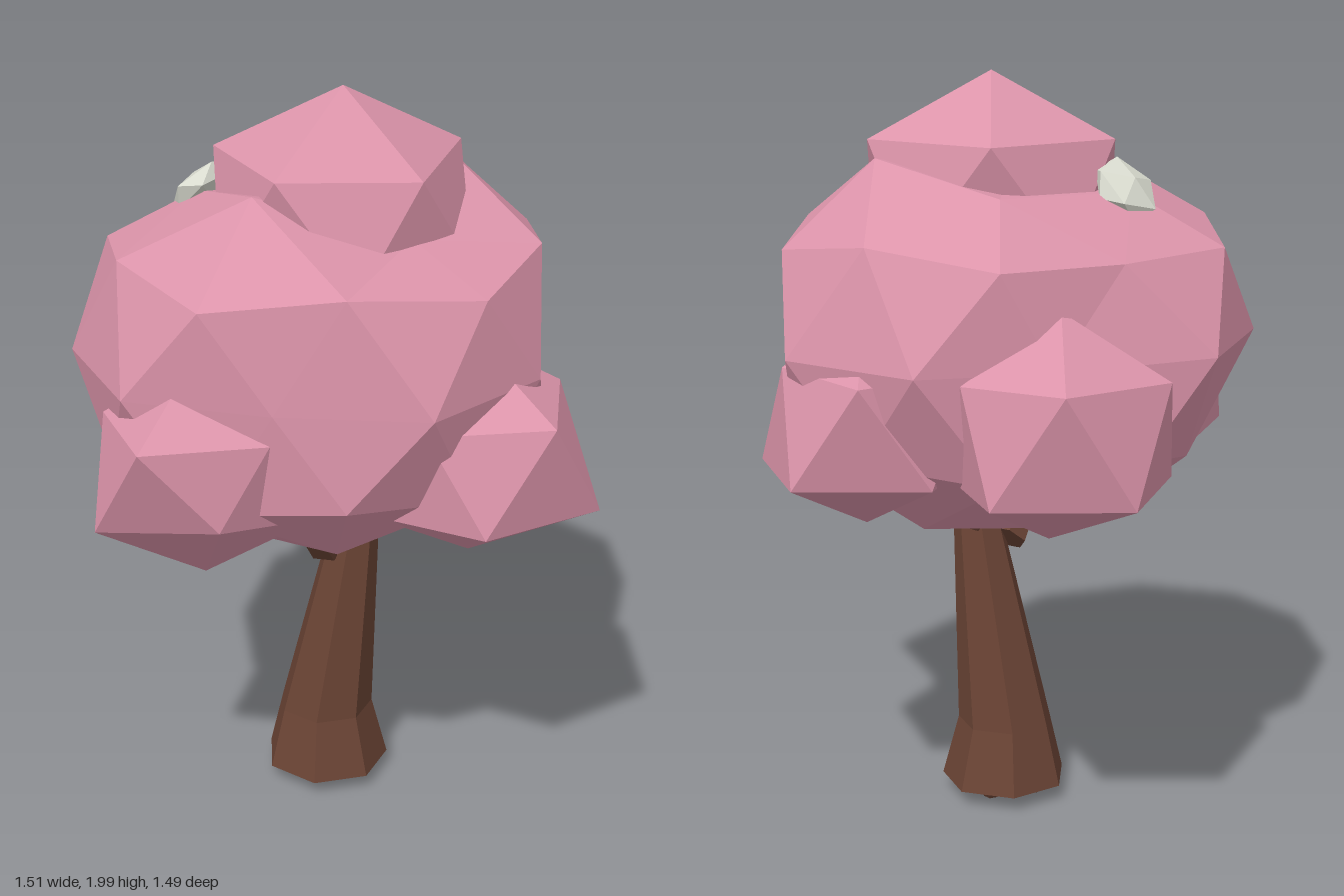
import * as THREE from 'three';

const flat = (name, color) => {
  const m = new THREE.MeshStandardMaterial({ color });
  m.flatShading = true;
  m.name = name;
  return m;
};

// Icosahedron standing on one corner, with an upper-ring corner towards +x.
// Each move [from, to] shifts the corner found at one point to another.
function uprightIco(detail, centre, radii, moves = []) {
  const g = new THREE.IcosahedronGeometry(1, detail);
  g.rotateZ(-Math.atan(2 / (1 + Math.sqrt(5))));
  g.scale(...radii);
  g.translate(...centre);
  const p = g.attributes.position;
  const corner = new THREE.Vector3();
  for (let i = 0; i < p.count; i++) {
    corner.fromBufferAttribute(p, i);
    const move = moves.find(([from]) => corner.distanceTo(new THREE.Vector3(...from)) < 0.05);
    if (move) p.setXYZ(i, ...move[1]);
  }
  g.computeVertexNormals();
  return g;
}

export function createModel() {
  const blossom = flat('blossomPink', 0xdc94aa);
  const bark = flat('barkBrown', 0x6b4435);
  const pale = flat('paleLeaf', 0xdadcd0);
  const tree = new THREE.Group();
  tree.name = 'tree';

  const add = (name, geometry, material, position = [0, 0, 0]) => {
    const mesh = new THREE.Mesh(geometry, material);
    mesh.name = name;
    mesh.position.set(...position);
    tree.add(mesh);
    return mesh;
  };

  // Main crown, dented under the top clump and on some sides
  add('mainCrown', uprightIco(1, [0.025, 1.32, -0.01], [0.64, 0.55, 0.675], [
    [[0.025, 1.87, -0.01], [0.025, 1.72, -0.01]],
    [[0.362, 1.788, -0.01], [0.34, 1.66, -0.01]],
    [[-0.247, 1.788, 0.199], [-0.25, 1.7, 0.19]],
    [[-0.247, 1.788, -0.219], [-0.24, 1.71, -0.22]],
    [[-0.52, 1.609, -0.01], [-0.47, 1.56, -0.01]],
    [[0.401, 1.32, 0.536], [0.35, 1.32, 0.46]],
    [[-0.584, 1.32, -0.219], [-0.49, 1.32, -0.24]],
    [[0.401, 1.32, -0.556], [0.34, 1.32, -0.47]],
    [[0.634, 1.32, -0.219], [0.61, 1.32, -0.2]],
    [[-0.416, 1.03, 0.327], [-0.37, 1.01, 0.29]],
    [[0.025, 0.77, -0.01], [0.025, 0.81, -0.01]],
  ]), blossom);

  // Smaller foliage clumps: name, centre, radii, shifted corners
  const clumps = [
    ['topClump', [0.085, 1.693, -0.012], [0.375, 0.307, 0.376],
      [[[0.42, 1.83, -0.012], [0.372, 1.81, -0.012]]]],
    ['frontClump', [0.085, 1.12, 0.46], [0.31, 0.305, 0.33], [
      [[0.309, 0.986, 0.633], [0.29, 1.03, 0.58]],
      [[0.171, 1.254, 0.741], [0.19, 1.25, 0.745]],
      [[-0.139, 1.254, 0.633], [-0.11, 1.24, 0.62]],
      [[0.362, 1.254, 0.46], [0.34, 1.24, 0.46]],
    ]],
    ['leftClump', [0.475, 1.125, -0.1], [0.315, 0.29, 0.345], [
      [[0.703, 0.995, -0.281], [0.75, 0.98, -0.29]],
      [[0.562, 1.255, -0.393], [0.55, 1.265, -0.345]],
      [[0.562, 1.255, 0.193], [0.56, 1.245, 0.15]],
    ]],
    ['backClump', [0.01, 1.15, -0.46], [0.33, 0.3, 0.33], [
      [[0.101, 1.284, -0.741], [0.085, 1.29, -0.66]],
      [[0.01, 0.85, -0.46], [0.01, 0.87, -0.465]],
    ]],
    ['rightClump', [-0.455, 1.16, -0.195], [0.33, 0.3, 0.33], [
      [[-0.694, 1.294, -0.369], [-0.7, 1.315, -0.37]],
      [[-0.694, 1.294, -0.02], [-0.665, 1.3, -0.02]],
      [[-0.364, 1.294, -0.476], [-0.4, 1.3, -0.455]],
      [[-0.455, 0.86, -0.195], [-0.41, 0.88, -0.195]],
    ]],
  ];
  for (const [name, ...shape] of clumps) add(name, uprightIco(0, ...shape), blossom);

  // Pale leaf lying on the crown's slope
  const leaf = add('paleLeaf', uprightIco(0, [0, 0, 0], [0.105, 0.045, 0.1]), pale, [-0.246, 1.708, 0.172]);
  leaf.rotation.set(0.2, 0, 0.76);

  // Leaning trunk with flared foot; rows from top to bottom: x, y, z, radius
  const rows = [
    [0.091, 0.78, -0.055, 0.068],
    [0.024, 0.22, -0.013, 0.131],
    [0.025, 0.05, -0.015, 0.174],
  ];
  const trunk = new THREE.CylinderGeometry(1, 1, 2, 7, 2, false, -0.26);
  const t = trunk.attributes.position;
  for (let i = 0; i < t.count; i++) {
    const [x, y, z, r] = rows[Math.round(1 - t.getY(i))];
    t.setXYZ(i, x + t.getX(i) * r, y, z + t.getZ(i) * r);
  }
  trunk.computeVertexNormals();
  add('trunk', trunk, bark);

  // Branches reaching into the crown: name, start, end, radius
  const branches = [
    ['frontBranch', [0.05, 0.735, 0.005], [0.13, 0.93, 0.17], 0.06],
    ['centreBranch', [0.095, 0.74, -0.06], [0.1, 1.0, -0.07], 0.045],
    ['backBranch', [0.085, 0.765, -0.06], [0.01, 0.93, -0.15], 0.045],
  ];
  const up = new THREE.Vector3(0, 1, 0);
  for (const [name, from, to, r] of branches) {
    const a = new THREE.Vector3(...from), dir = new THREE.Vector3(...to).sub(a);
    const mesh = add(name, new THREE.CylinderGeometry(r * 0.85, r, dir.length(), 6), bark);
    mesh.position.copy(a).addScaledVector(dir, 0.5);
    mesh.quaternion.setFromUnitVectors(up, dir.normalize());
  }

  // Root tips below the foot
  const roots = [[-0.04, 0.03], [0.09, 0.0], [0.0, -0.08]];
  roots.forEach(([x, z], i) => {
    const root = add('rootTip', new THREE.CylinderGeometry(0.055, 0.02, 0.05, 5), bark, [x, 0.033, z]);
    root.rotation.y = i * 1.3;
  });

  return tree;
}
